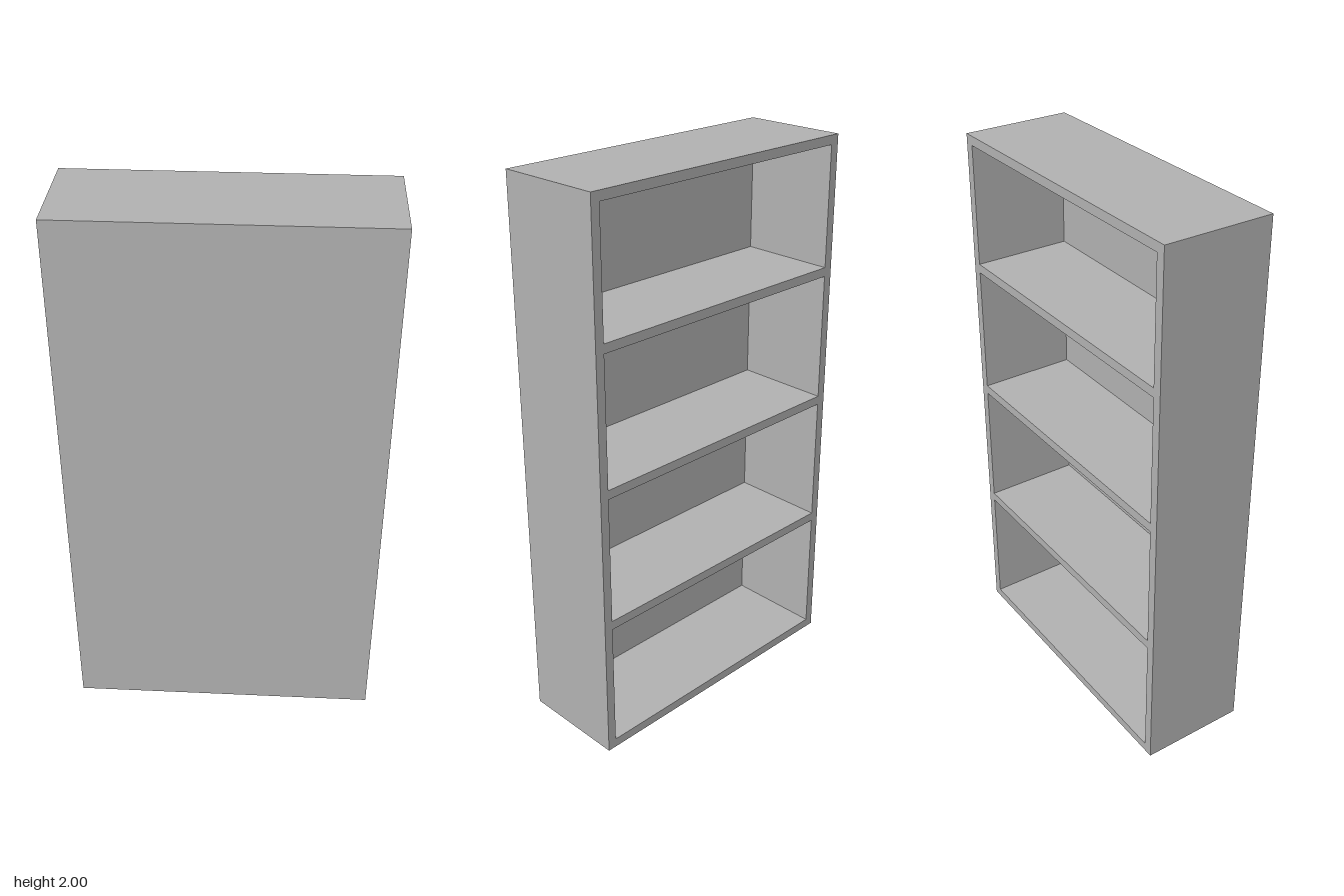
import * as THREE from 'three';

const WIDTH = 1.11, HEIGHT = 2, DEPTH = 0.39;
const BOARD = 0.033;      // thickness of every board
const SHELF_STEP = 0.5;   // distance between shelf undersides
const BAYS = 4;

// Rectangle outline, used for the case and its openings
function rect(PathType, x0, y0, x1, y1) {
  const p = new PathType();
  p.moveTo(x0, y0);
  p.lineTo(x1, y0);
  p.lineTo(x1, y1);
  p.lineTo(x0, y1);
  p.closePath();
  return p;
}

export function createModel() {
  const group = new THREE.Group();
  group.name = 'bookcase';

  const grey = new THREE.MeshStandardMaterial({ color: 0xb3b3b3 });
  grey.name = 'grey board';

  // Sides, top, bottom and shelves: one frame with an opening per bay, open towards -z
  const outline = rect(THREE.Shape, -WIDTH / 2, 0, WIDTH / 2, HEIGHT);
  const inner = WIDTH / 2 - BOARD;
  for (let i = 0; i < BAYS; i++) {
    const low = i * SHELF_STEP + BOARD;
    const high = i === BAYS - 1 ? HEIGHT - BOARD : (i + 1) * SHELF_STEP;
    outline.holes.push(rect(THREE.Path, -inner, low, inner, high));
  }
  const frame = new THREE.Mesh(
    new THREE.ExtrudeGeometry(outline, { depth: DEPTH - BOARD, bevelEnabled: false }), grey);
  frame.position.z = -DEPTH / 2;
  frame.name = 'frameAndShelves';
  group.add(frame);

  // Closed panel covering the +z side
  const panel = new THREE.Mesh(new THREE.BoxGeometry(WIDTH, HEIGHT, BOARD), grey);
  panel.position.set(0, HEIGHT / 2, DEPTH / 2 - BOARD / 2);
  panel.name = 'closingPanel';
  group.add(panel);

  return group;
}
